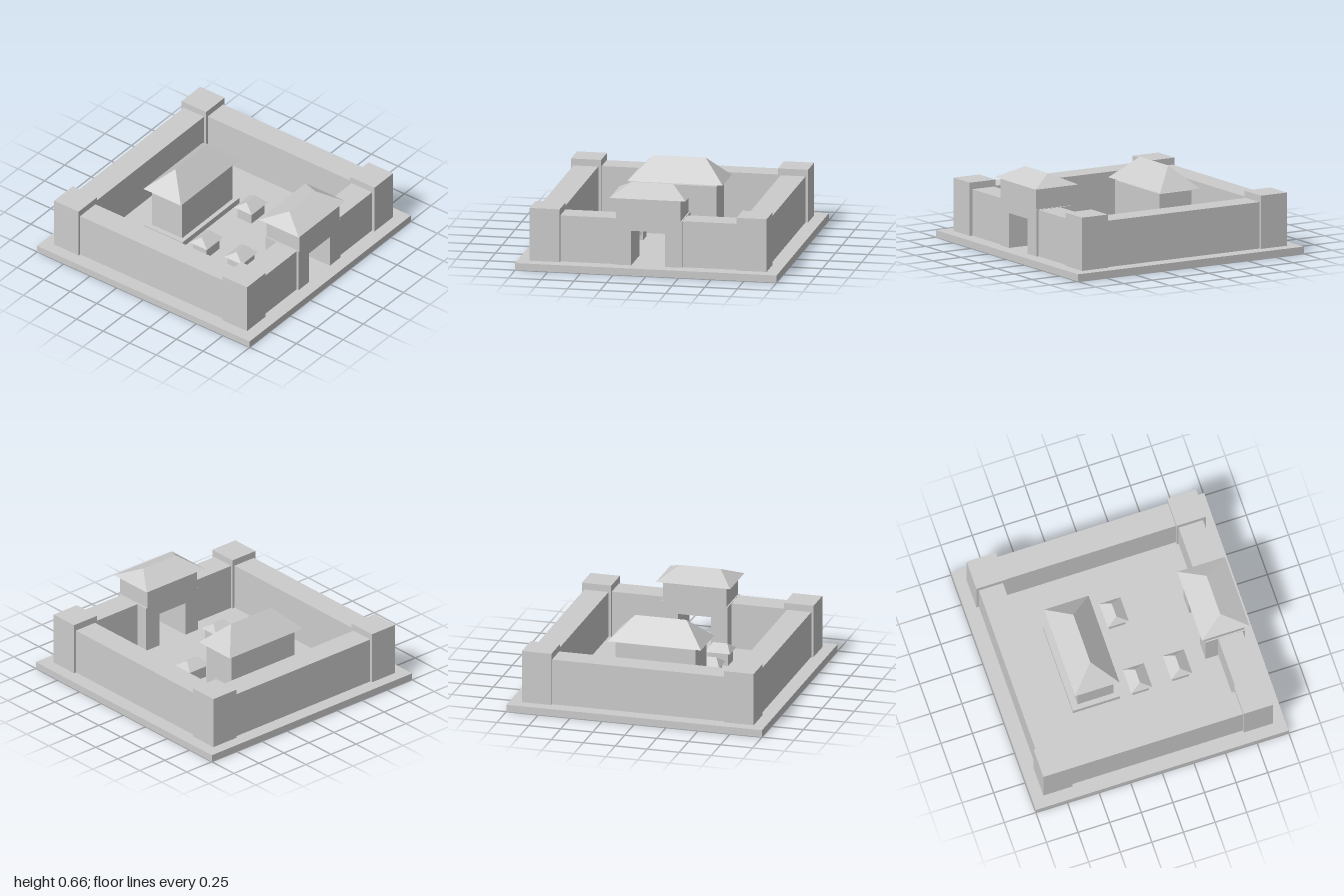
import * as THREE from 'three';

const stone = new THREE.MeshStandardMaterial({ color: 0xcccccc });
stone.name = 'pale stone';

function add(parent, name, geometry) {
  const mesh = new THREE.Mesh(geometry, stone);
  mesh.name = name;
  parent.add(mesh);
  return mesh;
}

// Box given by its extents along each axis
function box(parent, name, [x0, x1], [y0, y1], [z0, z1]) {
  const mesh = add(parent, name, new THREE.BoxGeometry(x1 - x0, y1 - y0, z1 - z0));
  mesh.position.set((x0 + x1) / 2, (y0 + y1) / 2, (z0 + z1) / 2);
  return mesh;
}

// Closed hipped roof: half width, half depth, half ridge length, height
function hipRoof(parent, name, w, d, ridge, h, x, y, z) {
  const a = [-w, 0, d], b = [w, 0, d], c = [w, 0, -d], e = [-w, 0, -d];
  const l = [-ridge, h, 0], r = [ridge, h, 0];
  const faces = [a, b, r, a, r, l, c, e, l, c, l, r, b, c, r, e, a, l, a, e, c, a, c, b];
  const geometry = new THREE.BufferGeometry();
  geometry.setAttribute('position', new THREE.Float32BufferAttribute(faces.flat(), 3));
  geometry.computeVertexNormals();
  add(parent, name, geometry).position.set(x, y, z);
}

export function createModel() {
  const model = new THREE.Group();
  model.name = 'walledCompound';
  const ground = 0.055;

  box(model, 'base', [-1, 1], [0, ground], [-1, 1]);

  // Perimeter walls, the front one broken by the gatehouse
  const wallY = [ground, 0.41];
  box(model, 'backWall', [-0.7, 0.7], wallY, [-0.89, -0.7]);
  box(model, 'rightWall', [-0.89, -0.7], wallY, [-0.7, 0.69]);
  box(model, 'leftWall', [0.695, 0.885], wallY, [-0.7, 0.69]);
  box(model, 'frontWallRight', [-0.7, -0.25], wallY, [0.69, 0.882]);
  box(model, 'frontWallLeft', [0.25, 0.7], wallY, [0.69, 0.882]);

  // Corner towers
  for (const x of [-0.793, 0.79])
    for (const z of [-0.795, 0.79])
      box(model, 'cornerTower', [x - 0.115, x + 0.115], [ground, 0.462], [z - 0.115, z + 0.115]);

  // Gatehouse with an open passage
  const gatehouse = new THREE.Group();
  gatehouse.name = 'gatehouse';
  model.add(gatehouse);
  const outline = new THREE.Shape([
    [-0.26, ground], [-0.132, ground], [-0.132, 0.322], [0.128, 0.322],
    [0.128, ground], [0.258, ground], [0.258, 0.412], [-0.26, 0.412],
  ].map(([x, y]) => new THREE.Vector2(x, y)));
  add(gatehouse, 'gateBody', new THREE.ExtrudeGeometry(outline, { depth: 0.31, bevelEnabled: false }))
    .position.z = 0.59;
  box(gatehouse, 'gateUpperRoom', [-0.25, 0.246], [0.412, 0.573], [0.59, 0.9]);
  hipRoof(gatehouse, 'gateRoof', 0.29, 0.188, 0.16, 0.085, -0.002, 0.574, 0.738);

  // Main hall on a low plinth
  const hall = new THREE.Group();
  hall.name = 'mainHall';
  model.add(hall);
  box(hall, 'hallPlinth', [-0.355, 0.35], [ground, 0.102], [-0.49, -0.12]);
  box(hall, 'hallBody', [-0.315, 0.31], [0.102, 0.43], [-0.44, -0.155]);
  hipRoof(hall, 'hallRoof', 0.365, 0.176, 0.2, 0.167, -0.003, 0.447, -0.303);

  // Small courtyard houses
  for (const [x, z] of [[-0.28, 0.045], [0.275, 0.045], [-0.27, 0.365]]) {
    const house = new THREE.Group();
    house.name = 'smallHouse';
    model.add(house);
    box(house, 'houseBody', [x - 0.08, x + 0.08], [ground, 0.155], [z - 0.065, z + 0.065]);
    hipRoof(house, 'houseRoof', 0.1, 0.083, 0.055, 0.055, x, 0.155, z);
  }
  return model;
}
